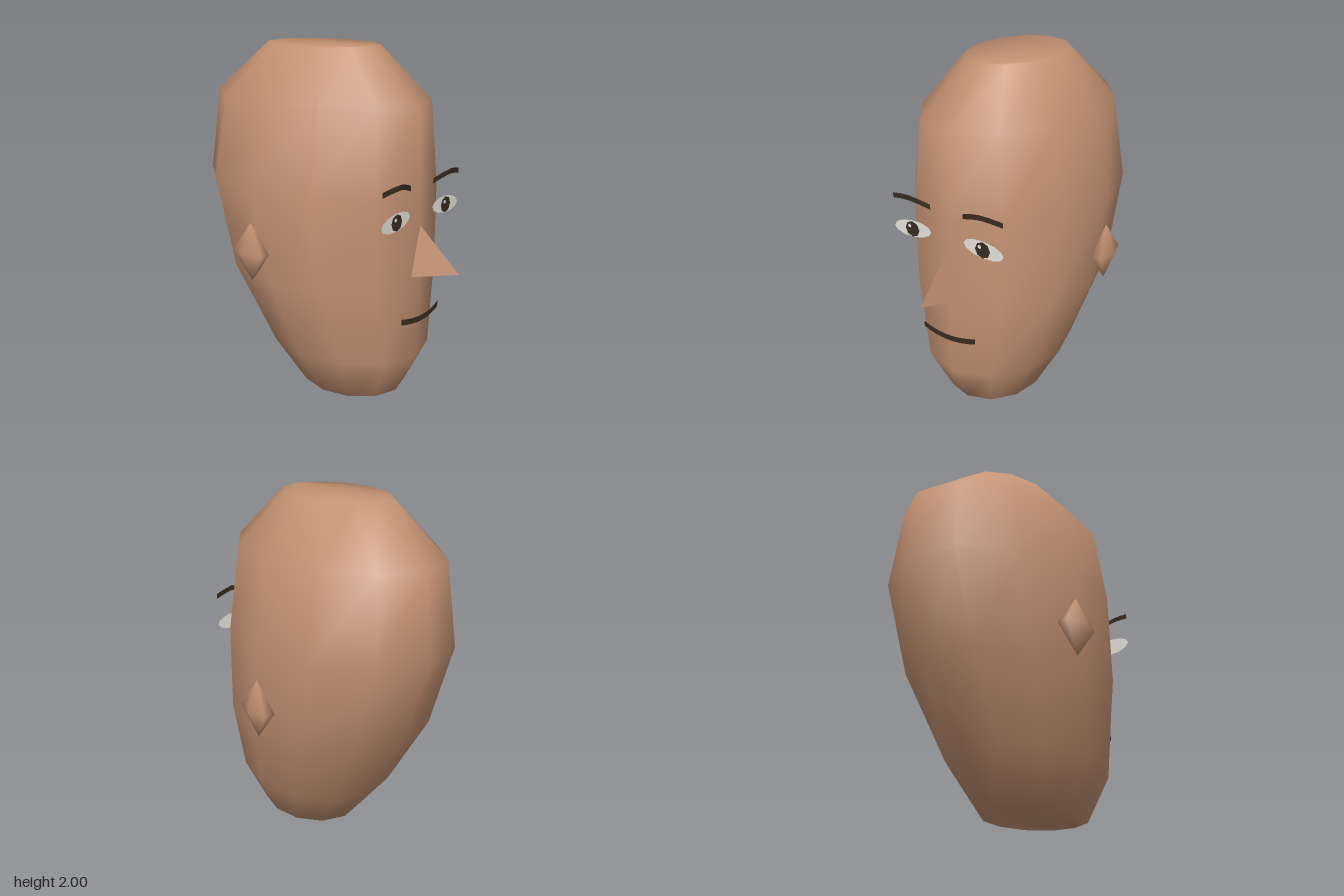
import * as THREE from 'three';

const mat = (name, color, side = THREE.FrontSide) => {
  const m = new THREE.MeshStandardMaterial({ color, side });
  m.name = name;
  return m;
};

function makeGeometry(positions, index) {
  const g = new THREE.BufferGeometry();
  g.setAttribute('position', new THREE.Float32BufferAttribute(positions, 3));
  if (index) g.setIndex(index);
  g.computeVertexNormals();
  return g;
}

// Smooth skull: stacked elliptical rings [y, half width, front z, back z], capped flat
function headGeometry() {
  const N = 12;
  const rings = [
    [0, 0.28, 0.46, -0.2],
    [0.27, 0.42, 0.6, -0.425],
    [0.73, 0.552, 0.603, -0.695],
    [1.235, 0.575, 0.605, -0.86],
    [1.71, 0.49, 0.577, -0.81],
    [2, 0.255, 0.26, -0.46],
  ];
  const pos = [], idx = [];
  rings.forEach(([y, rx, front, back], j) => {
    for (let i = 0; i < N; i++) {
      const a = (i / N) * Math.PI * 2;
      pos.push(rx * Math.sin(a), y, (front + back) / 2 + ((front - back) / 2) * Math.cos(a));
      if (j < rings.length - 1) {
        const p = j * N + i, q = j * N + ((i + 1) % N);
        idx.push(p, q, q + N, p, q + N, p + N);
      }
    }
  });
  const top = (rings.length - 1) * N;
  for (let i = 1; i < N - 1; i++) {
    idx.push(0, i + 1, i);
    idx.push(top, top + i, top + i + 1);
  }
  return makeGeometry(pos, idx);
}

// Flat band of the given height following a path of [x, y, z] points
function ribbonGeometry(points, height) {
  const pos = [], idx = [];
  points.forEach(([x, y, z], i) => {
    pos.push(x, y - height / 2, z, x, y + height / 2, z);
    if (i) {
      const k = 2 * i;
      idx.push(k - 2, k, k + 1, k - 2, k + 1, k - 1);
    }
  });
  return makeGeometry(pos, idx);
}

export function createModel() {
  const group = new THREE.Group();
  group.name = 'head';
  const skin = mat('skin', 0xc49273);
  const eyeWhite = mat('eyeWhite', 0xeeece2, THREE.DoubleSide);
  const dark = mat('darkBrown', 0x382c21, THREE.DoubleSide);
  const glint = mat('glint', 0xffffff, THREE.DoubleSide);

  const add = (name, geometry, material, x = 0, y = 0, z = 0) => {
    const m = new THREE.Mesh(geometry, material);
    m.name = name;
    m.position.set(x, y, z);
    group.add(m);
    return m;
  };

  add('skull', headGeometry(), skin);

  // Nose: three flat faces meeting at the tip
  const T = [0, 1.06, 0.6], L = [-0.07, 0.775, 0.6], R = [0.07, 0.775, 0.6], tip = [0, 0.835, 0.86];
  add('nose', makeGeometry([T, L, tip, T, tip, R, tip, L, R].flat()), skin);

  for (const s of [1, -1]) {
    const side = s > 0 ? 'left' : 'right';

    // Ear: six-sided double pyramid
    const ear = new THREE.SphereGeometry(1, 6, 2);
    ear.scale(0.065, 0.17, 0.13);
    add(side + 'Ear', ear, skin, s * 0.575, 0.89, -0.135);

    // Eye: flat almond, iris and a small glint
    const eye = new THREE.CircleGeometry(1, 12);
    eye.scale(0.126, 0.05, 1);
    add(side + 'Eye', eye, eyeWhite, s * 0.232, 1.13, 0.605).rotation.z = -s * 0.08;
    add(side + 'Iris', new THREE.CircleGeometry(0.047, 8), dark, s * 0.23, 1.13, 0.61);
    add(side + 'Glint', new THREE.CircleGeometry(0.012, 6), glint, s * 0.23 - 0.016, 1.148, 0.614);

    // Eyebrow
    const brow = [[0.105, 1.29, 0.605], [0.17, 1.313, 0.622], [0.23, 1.328, 0.636], [0.29, 1.318, 0.622], [0.355, 1.303, 0.607]];
    add(side + 'Eyebrow', ribbonGeometry(brow.map(([x, y, z]) => [s * x, y, z]), 0.03), dark);
  }

  // Mouth: shallow smile bowed outward
  const smile = [];
  for (let i = 0; i <= 8; i++) {
    const t = i / 4 - 1;
    smile.push([0.175 * t, 0.522 + 0.022 * t * t, 0.632 - 0.015 * t * t]);
  }
  add('mouth', ribbonGeometry(smile, 0.034), dark);

  return group;
}
